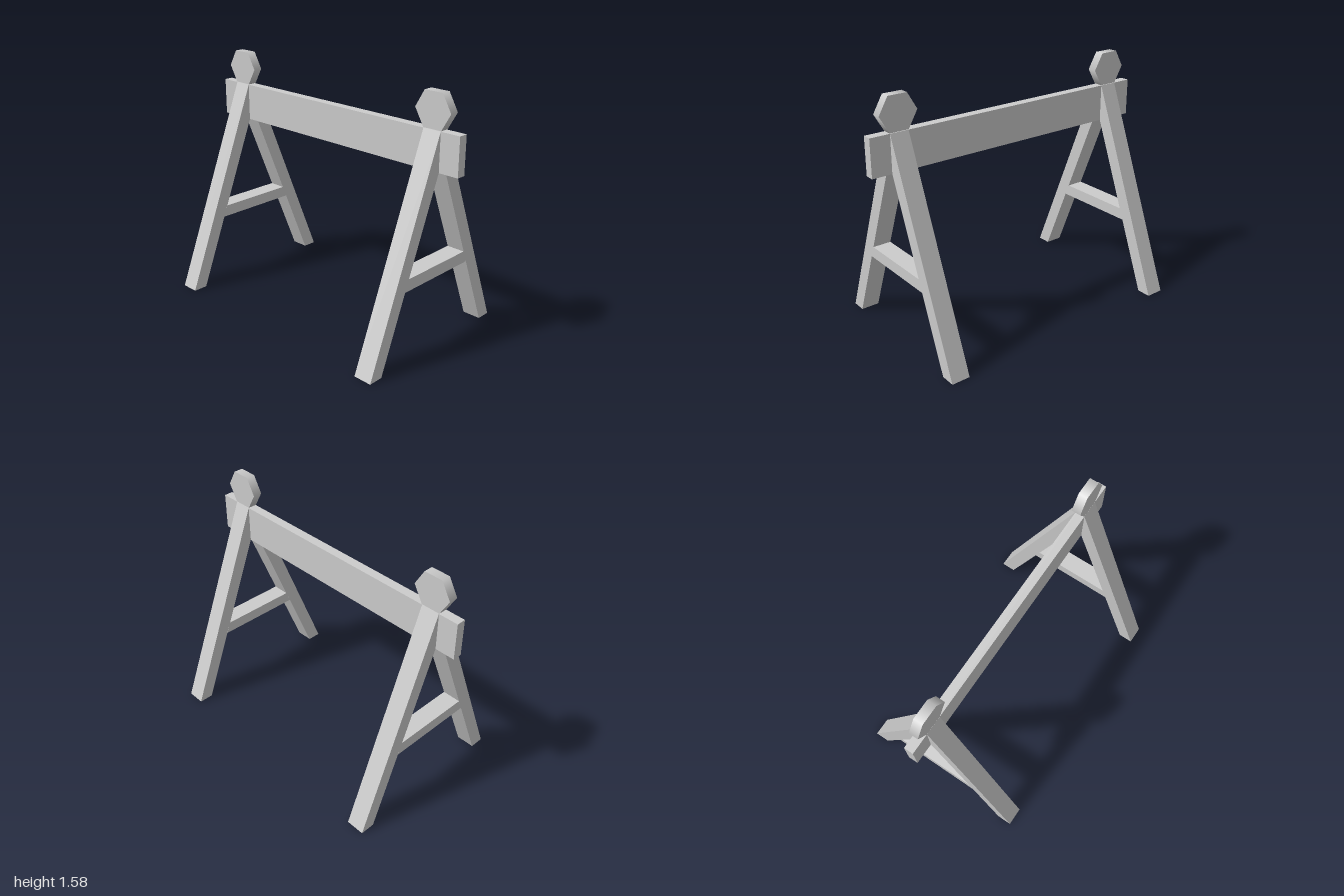
import * as THREE from 'three';

const WIDTH = 0.12;     // leg width along x
const TRESTLE_X = 0.81; // distance of each trestle from the centre
const BEAM_HALF = 0.03; // half thickness of the beam
const BEAM_BOTTOM = 1.12, BEAM_TOP = 1.36;

const material = new THREE.MeshStandardMaterial({ color: 0xcccccc });
const openMaterial = new THREE.MeshStandardMaterial({ color: 0xcccccc, side: THREE.DoubleSide });

function part(name, geometry, mat = material) {
  const mesh = new THREE.Mesh(geometry, mat);
  mesh.name = name;
  return mesh;
}

// Extrudes a (z, y) outline across the trestle width
function sideProfile(points) {
  const shape = new THREE.Shape(points.map(([z, y]) => new THREE.Vector2(z, y)));
  return new THREE.ExtrudeGeometry(shape, { depth: WIDTH, bevelEnabled: false })
    .translate(0, 0, -WIDTH / 2)
    .rotateY(-Math.PI / 2);
}

// Removes the triangles lying on the ground, leaving the foot hollow
function openFoot(geometry) {
  const p = geometry.attributes.position, n = geometry.attributes.normal;
  const pos = [], nor = [];
  for (let i = 0; i < p.count; i += 3) {
    if (n.getY(i) < -0.99) continue;
    for (let j = i; j < i + 3; j++) {
      pos.push(p.getX(j), p.getY(j), p.getZ(j));
      nor.push(n.getX(j), n.getY(j), n.getZ(j));
    }
  }
  const open = new THREE.BufferGeometry();
  open.setAttribute('position', new THREE.Float32BufferAttribute(pos, 3));
  open.setAttribute('normal', new THREE.Float32BufferAttribute(nor, 3));
  return open;
}

function createTrestle(name) {
  const trestle = new THREE.Group();
  trestle.name = name;

  // Sloping legs, cut upright where they meet the beam
  const legGeometry = openFoot(sideProfile([
    [0.48, 0], [0.575, 0], [BEAM_HALF, BEAM_TOP], [BEAM_HALF, BEAM_BOTTOM],
  ]));
  const frontLeg = part('frontLeg', legGeometry, openMaterial);
  const backLeg = part('backLeg', legGeometry, openMaterial);
  backLeg.rotation.y = Math.PI;

  // Crossbar with ends cut to the slope of the legs
  const crossbar = part('crossbar', sideProfile([
    [-0.291, 0.47], [0.291, 0.47], [0.261, 0.545], [-0.261, 0.545],
  ]));

  // Six-sided lamp disc standing on the beam
  const disc = part('lampDisc', new THREE.CylinderGeometry(
    0.124, 0.124, BEAM_HALF * 2, 6, 1, false, Math.PI / 2).rotateX(Math.PI / 2));
  disc.position.y = 1.47;

  trestle.add(frontLeg, backLeg, crossbar, disc);
  return trestle;
}

export function createModel() {
  const model = new THREE.Group();
  model.name = 'barrier';

  // Horizontal board
  const beam = part('beam', new THREE.BoxGeometry(2, BEAM_TOP - BEAM_BOTTOM, BEAM_HALF * 2));
  beam.position.y = (BEAM_TOP + BEAM_BOTTOM) / 2;
  model.add(beam);

  for (const [name, side] of [['leftTrestle', 1], ['rightTrestle', -1]]) {
    const trestle = createTrestle(name);
    trestle.position.x = side * TRESTLE_X;
    model.add(trestle);
  }
  return model;
}
